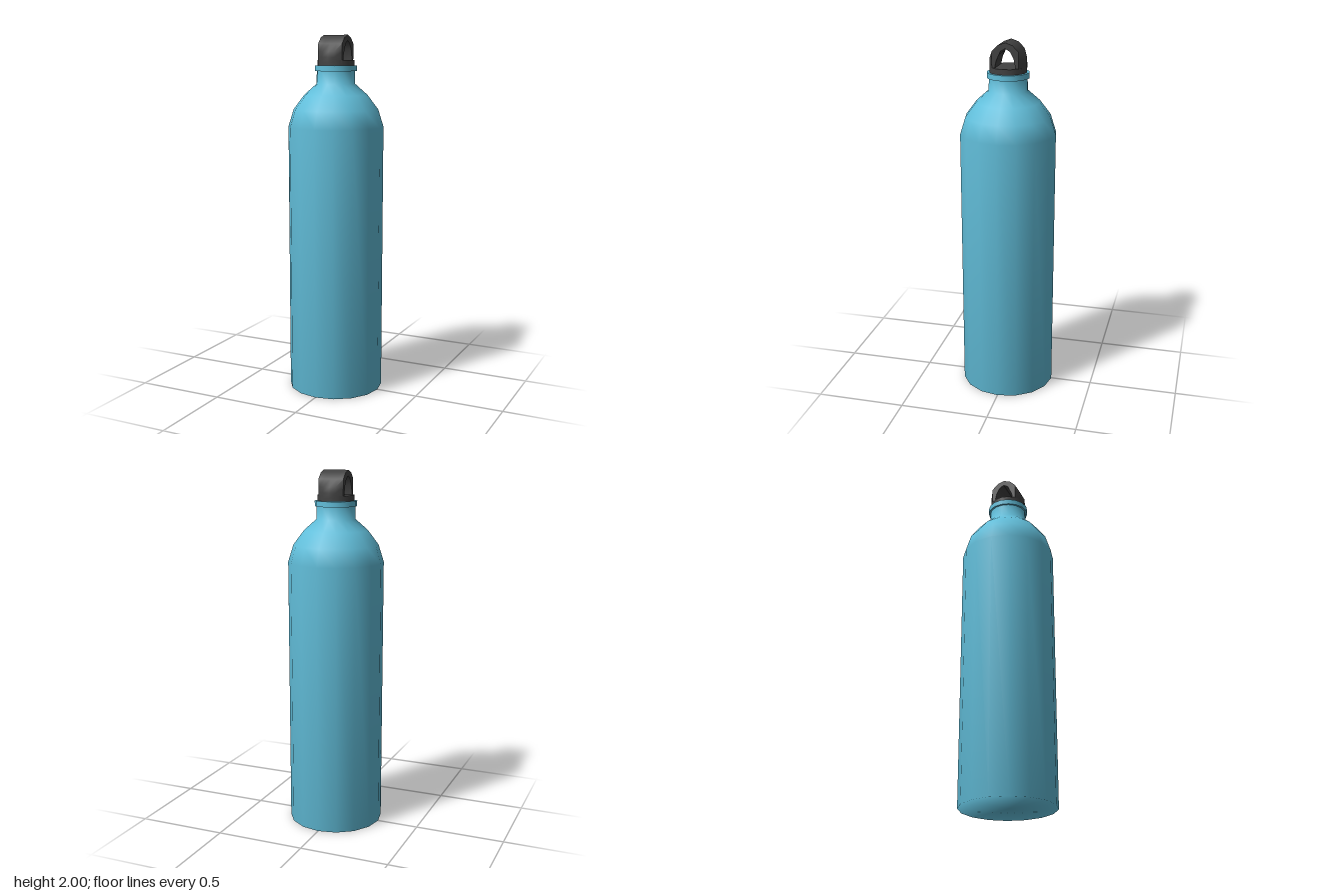
import * as THREE from 'three';
import { toCreasedNormals } from 'three/addons/utils/BufferGeometryUtils.js';

const SIDES = 16;
const CAP_RADIUS = 0.102;

const points = (list) => list.map(([x, y]) => new THREE.Vector2(x, y));

function addMesh(group, name, geometry, material) {
  const mesh = new THREE.Mesh(geometry, material);
  mesh.name = name;
  group.add(mesh);
}

// Arched carrying loop, extruded along x and trimmed to the round cap
function loopGeometry() {
  const half = [[0.102, 1.85], [0.102, 1.88], [0.094, 1.91], [0.073, 1.953], [0.04, 1.986]];
  const hole = [[0.056, 1.85], [0.055, 1.875], [0.045, 1.92], [0.025, 1.955]];
  const arch = (side, top) => [
    ...side, [0, top], ...side.slice().reverse().map(([z, y]) => [-z, y]),
  ];
  const outline = [...arch(half, 2.0), ...arch(hole, 1.969).reverse()];
  const width = 0.144;
  const geometry = new THREE.ExtrudeGeometry(new THREE.Shape(points(outline)), {
    depth: width, steps: 4, bevelEnabled: false,
  });
  geometry.translate(0, 0, -width / 2);
  geometry.rotateY(-Math.PI / 2);
  const p = geometry.attributes.position;
  for (let i = 0; i < p.count; i++) {
    const limit = Math.sqrt(CAP_RADIUS ** 2 - p.getX(i) ** 2);
    p.setZ(i, THREE.MathUtils.clamp(p.getZ(i), -limit, limit));
  }
  return toCreasedNormals(geometry, 0.8);
}

export function createModel() {
  const group = new THREE.Group();
  group.name = 'bottle';
  const blue = new THREE.MeshStandardMaterial({ color: 0x62bfdb });
  const dark = new THREE.MeshStandardMaterial({ color: 0x424242 });

  // Body with rounded shoulder and neck
  const body = points([
    [0, 0], [0.265, 0], [0.265, 1.5], [0.235, 1.595], [0.175, 1.675],
    [0.107, 1.735], [0.105, 1.81],
  ]);
  addMesh(group, 'body', new THREE.LatheGeometry(body, SIDES), blue);

  // Rim around the mouth
  const rim = points([[0.1, 1.805], [0.116, 1.805], [0.116, 1.835], [0, 1.835]]);
  addMesh(group, 'rim', toCreasedNormals(new THREE.LatheGeometry(rim, SIDES), 0.8), blue);

  // Screw cap
  const cap = new THREE.CylinderGeometry(CAP_RADIUS, CAP_RADIUS, 0.035, SIDES);
  cap.translate(0, 1.8475, 0);
  addMesh(group, 'cap', cap, dark);

  addMesh(group, 'capLoop', loopGeometry(), dark);
  return group;
}
